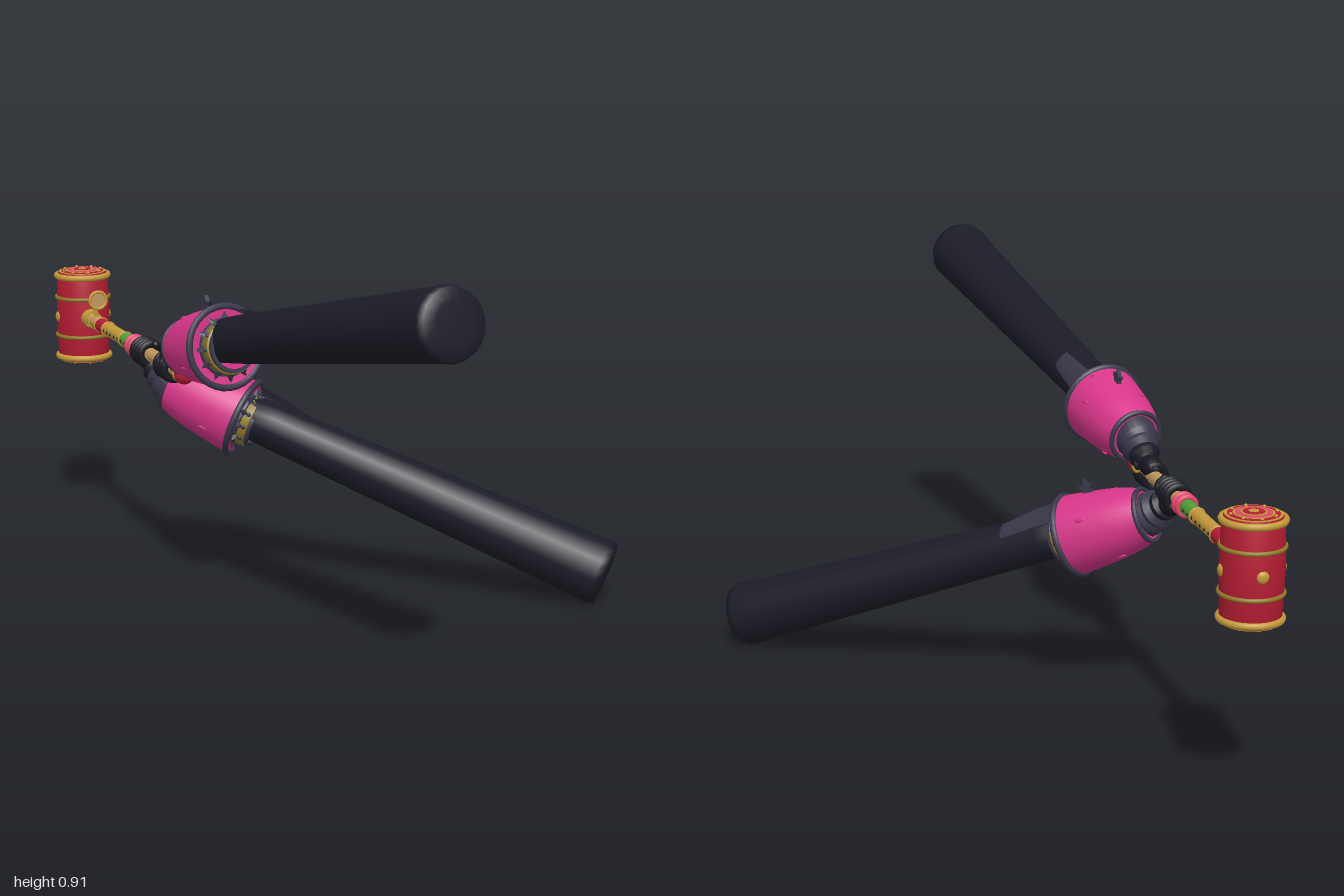
import * as THREE from 'three';
import { toCreasedNormals } from 'three/addons/utils/BufferGeometryUtils.js';

const mat = (name, color, side = THREE.FrontSide) => {
  const m = new THREE.MeshStandardMaterial({ color, side });
  m.name = name;
  return m;
};
const V = (x, y, z) => new THREE.Vector3(x, y, z);

export function createModel() {
  const charcoal = mat('charcoal sleeve', 0x1c1c28);
  const pink = mat('pink cuff', 0xd8368a, THREE.DoubleSide);
  const purple = mat('purple grey trim', 0x3b374a, THREE.DoubleSide);
  const gold = mat('gold', 0xc49a3a);
  const olive = mat('dark gold', 0x8f7a28);
  const red = mat('red', 0xb51d33);
  const tan = mat('tan wood', 0xc1975c);
  const green = mat('green', 0x52a038);
  const rose = mat('rose', 0xe2486a);
  const black = mat('black glove', 0x18171f);

  const model = new THREE.Group();
  model.name = 'armsWithMallet';

  const add = (parent, name, geo, material, x = 0, y = 0, z = 0) => {
    const m = new THREE.Mesh(geo, material);
    m.name = name;
    m.position.set(x, y, z);
    parent.add(m);
    return m;
  };
  const smoothLathe = (pts, seg = 28, start = 0, sweep = Math.PI * 2) =>
    new THREE.LatheGeometry(pts.map(p => new THREE.Vector2(p[0], p[1])), seg, start, sweep);
  const lathe = (...args) => toCreasedNormals(smoothLathe(...args), 0.6);
  const ring = (r, tube) => new THREE.TorusGeometry(r, tube, 8, 32).rotateX(Math.PI / 2);

  // Group whose local y runs from a to b, with local z turned as far up as possible
  const along = (name, a, b) => {
    const g = new THREE.Group();
    g.name = name;
    const y = b.clone().sub(a).normalize();
    const z = V(0, 1, 0).addScaledVector(y, -y.y).normalize();
    const x = new THREE.Vector3().crossVectors(y, z);
    g.quaternion.setFromRotationMatrix(new THREE.Matrix4().makeBasis(x, y, z));
    g.position.copy(a);
    model.add(g);
    return g;
  };

  // Five pointed star plate
  const starShape = new THREE.Shape();
  for (let i = 0; i < 10; i++) {
    const r = i % 2 ? 0.01 : 0.022, t = i * Math.PI / 5;
    starShape[i ? 'lineTo' : 'moveTo'](r * Math.sin(t), r * Math.cos(t));
  }
  const starGeo = new THREE.ExtrudeGeometry(starShape, { depth: 0.01, bevelEnabled: false })
    .translate(0, 0, -0.005).rotateY(Math.PI / 2).rotateX(Math.PI / 2);

  const cuffProfile = [[0.062, 0], [0.072, 0.03], [0.082, 0.08], [0.089, 0.14], [0.094, 0.195]];
  const cuffRadius = h => {
    let i = 1;
    while (i < cuffProfile.length - 1 && cuffProfile[i][1] < h) i++;
    const [r0, h0] = cuffProfile[i - 1], [r1, h1] = cuffProfile[i];
    return r0 + (r1 - r0) * (h - h0) / (h1 - h0);
  };

  function buildArm(side, o) {
    // Long sleeve, widening towards its closed, softly shaded end
    const sleeve = along(side + 'Arm', o.near, o.far);
    const L = o.near.distanceTo(o.far);
    add(sleeve, 'sleeve', smoothLathe([[0, -0.06], [0.05, -0.06], [0.055, 0.05], [0.077, L - 0.06],
      [0.079, L - 0.02], [0.074, L - 0.003], [0.045, L], [0, L]], 20), charcoal);
    // Pointed cloth tail on the far side of the sleeve
    add(sleeve, 'clothTail', lathe([[0.08, -0.04], [0.072, 0.05], [0.057, 0.14]], 10, o.tail - 0.4, 0.8), purple);

    // Bell shaped cuff
    const cuff = along(side + 'Cuff', o.narrow, o.wide);
    add(cuff, 'cuffShell', lathe([[0.035, 0.002], ...cuffProfile, [0.094, 0.2], [0.06, 0.196]], 32), pink);
    add(cuff, 'wideRim', ring(0.093, 0.008), purple, 0, 0.197);
    add(cuff, 'narrowRim', ring(0.061, 0.006), purple, 0, 0.002);
    // Collar around the sleeve: gold band between dark edges, with a crown of points
    add(cuff, 'collar', lathe([[0.068, 0.195], [0.068, 0.206], [0.06, 0.208], [0.059, 0.236], [0.05, 0.236]]), purple);
    add(cuff, 'goldBand', lathe([[0.062, 0.205], [0.064, 0.21], [0.063, 0.226], [0.058, 0.229]]), olive);
    for (let i = 0; i < 12; i++) {
      const t = i * Math.PI / 6, s = Math.sin(t), c = Math.cos(t);
      const point = add(cuff, 'collarPoint', new THREE.ConeGeometry(0.01, 0.018, 4).rotateX(Math.PI / 2),
        purple, 0.073 * s, 0.205, 0.073 * c);
      point.rotation.y = t;
      add(cuff, 'bandStud', new THREE.SphereGeometry(0.006, 8, 6), purple, 0.062 * s, 0.218, 0.062 * c);
    }
    // Raised oval marks on the cuff
    for (let i = 0; i < 4; i++) {
      const t = i * Math.PI / 2 + 0.5, h = i % 2 ? 0.13 : 0.08, r = cuffRadius(h);
      const mark = add(cuff, 'cuffMark', new THREE.SphereGeometry(1, 10, 8), pink, r * Math.sin(t), h, r * Math.cos(t));
      mark.scale.set(0.006, 0.014, 0.003);
      mark.rotation.y = t;
    }
    add(cuff, 'star', starGeo, purple, 0, 0.125, cuffRadius(0.125) + 0.01);

    // Ridged wrist
    const wrist = along(side + 'Wrist', o.narrow, o.hand);
    const W = o.narrow.distanceTo(o.hand);
    add(wrist, 'wristPuff', lathe([[0.05, -0.02], [0.05, W * 0.15], [0.042, W * 0.28], [0.046, W * 0.4],
      [0.034, W * 0.55]], 20), purple);
    add(wrist, 'wristRidges', lathe([[0.034, W * 0.5], [0.037, W * 0.68], [0.026, W * 0.8], [0.024, W]], 20), charcoal);

    // Gloved hand closed round the handle
    const hand = new THREE.Group();
    hand.name = side + 'Hand';
    hand.position.set(-0.428, 0.535, o.grip);
    model.add(hand);
    const palm = add(hand, 'palm', new THREE.SphereGeometry(1, 16, 12), black, o.palm[0], o.palm[1], 0);
    palm.scale.set(0.026, 0.026, 0.04);
    for (let i = 0; i < 4; i++) {
      const z = (i - 1.5) * 0.019;
      const finger = add(hand, 'finger', new THREE.TorusGeometry(0.026, 0.0095, 8, 18, 5), black, 0, 0, z);
      finger.rotation.z = o.turn;
    }
    const thumb = new THREE.CatmullRomCurve3([V(o.palm[0], o.palm[1], 0.02), V(0.026, 0.012, 0.032), V(0.008, 0.026, 0.042)]);
    add(hand, 'thumb', new THREE.TubeGeometry(thumb, 10, 0.01, 8), black);
    add(hand, 'thumbTip', new THREE.SphereGeometry(0.01, 10, 8), black, 0.008, 0.026, 0.042);
  }

  buildArm('right', {
    near: V(-0.388, 0.652, 0.09), far: V(-0.247, 0.841, 0.984), tail: -0.9,
    narrow: V(-0.42, 0.598, -0.12), wide: V(-0.392, 0.633, 0.07),
    hand: V(-0.428, 0.55, -0.2), grip: -0.215, palm: [0, 0.018], turn: 1.2,
  });
  buildArm('left', {
    near: V(-0.23, 0.397, -0.185), far: V(0.453, 0.069, 0.341), tail: -0.6,
    narrow: V(-0.39, 0.469, -0.32), wide: V(-0.25, 0.396, -0.205),
    hand: V(-0.428, 0.522, -0.385), grip: -0.39, palm: [0.008, -0.022], turn: -0.6,
  });

  // Mallet handle: local y runs towards the head
  const handle = along('malletHandle', V(-0.428, 0.535, -0.1), V(-0.428, 0.535, -0.86));
  const rod = (name, r, from, to, m) =>
    add(handle, name, new THREE.CylinderGeometry(r, r, to - from, 18), m, 0, (from + to) / 2);
  rod('grip', 0.016, 0.02, 0.37, tan);
  rod('greenSection', 0.018, 0.39, 0.46, green);
  rod('goldSection', 0.0175, 0.46, 0.6, gold);
  rod('redSection', 0.018, 0.6, 0.66, red);
  rod('neck', 0.017, 0.66, 0.76, tan);
  add(handle, 'pommel', new THREE.SphereGeometry(0.024, 16, 12), red, 0, 0.016);
  add(handle, 'pommelRing', ring(0.018, 0.005), gold, 0, 0.037);
  for (const h of [0.36, 0.385]) add(handle, 'roseCollar', ring(0.021, 0.007), rose, 0, h);
  rod('roseSleeve', 0.021, 0.355, 0.39, rose);
  for (const h of [0.46, 0.6, 0.66, 0.71]) add(handle, 'goldRing', ring(0.0175, 0.003), gold, 0, h);
  // Spiral wrap on the grip
  const spiral = [];
  for (let i = 0; i <= 40; i++) {
    const t = i / 40, a = t * Math.PI * 8;
    spiral.push(V(0.0155 * Math.sin(a), 0.045 + t * 0.3, 0.0155 * Math.cos(a)));
  }
  add(handle, 'spiralWrap', new THREE.TubeGeometry(new THREE.CatmullRomCurve3(spiral), 120, 0.002, 5), tan);
  // Small finger holes on both flanks
  for (const s of [-1, 1]) for (let i = 0; i < 7; i++)
    add(handle, 'hole', new THREE.SphereGeometry(0.0045, 8, 6), black, s * 0.0155, 0.415 + i * 0.029, 0);
  // Small horn on the neck
  add(handle, 'hornStem', new THREE.CylinderGeometry(0.006, 0.006, 0.06, 8).rotateX(Math.PI / 2), gold, 0, 0.705, 0.035);
  add(handle, 'horn', new THREE.CylinderGeometry(0.024, 0.005, 0.035, 14), tan, 0, 0.7, 0.06).rotation.x = Math.PI;
  add(handle, 'hornRim', ring(0.022, 0.004), gold, 0, 0.684, 0.06);

  // Mallet head: upright barrel with gold bands
  const head = new THREE.Group();
  head.name = 'malletHead';
  head.position.set(-0.426, 0.533, -0.925);
  model.add(head);
  add(head, 'barrel', lathe([[0, -0.116], [0.062, -0.116], [0.066, -0.1], [0.069, 0], [0.066, 0.1],
    [0.062, 0.116], [0, 0.116]], 32), red);
  for (const s of [-1, 1]) {
    add(head, 'endBand', ring(0.066, 0.008), gold, 0, s * 0.106);
    add(head, 'innerBand', ring(0.068, 0.005), olive, 0, s * 0.05);
    const rings = [[0.061, gold], [0.055, red], [0.044, gold], [0.039, rose], [0.028, gold], [0.023, red], [0.011, gold]];
    rings.forEach(([r, m], i) => add(head, 'faceRing' + i,
      new THREE.CylinderGeometry(r, r, 0.006, 28), m, 0, s * (0.1145 + i * 0.001)));
    for (let i = 0; i < 8; i++) {
      const t = i * Math.PI / 4;
      add(head, 'faceStud', new THREE.SphereGeometry(0.004, 8, 6), gold, 0.05 * Math.sin(t), s * 0.119, 0.05 * Math.cos(t));
    }
  }
  // Gold bosses round the middle and the handle socket
  for (let i = 0; i < 4; i++) {
    const t = i * Math.PI / 2, s = Math.sin(t), c = Math.cos(t);
    const boss = add(head, 'boss', new THREE.SphereGeometry(0.014, 12, 8), gold, 0.067 * s, 0, 0.067 * c);
    boss.scale.set(1, 1, 0.5);
    boss.rotation.y = t;
  }
  add(head, 'socket', new THREE.CylinderGeometry(0.022, 0.026, 0.03, 18).rotateX(Math.PI / 2), gold, 0, 0.002, 0.074);

  return model;
}
